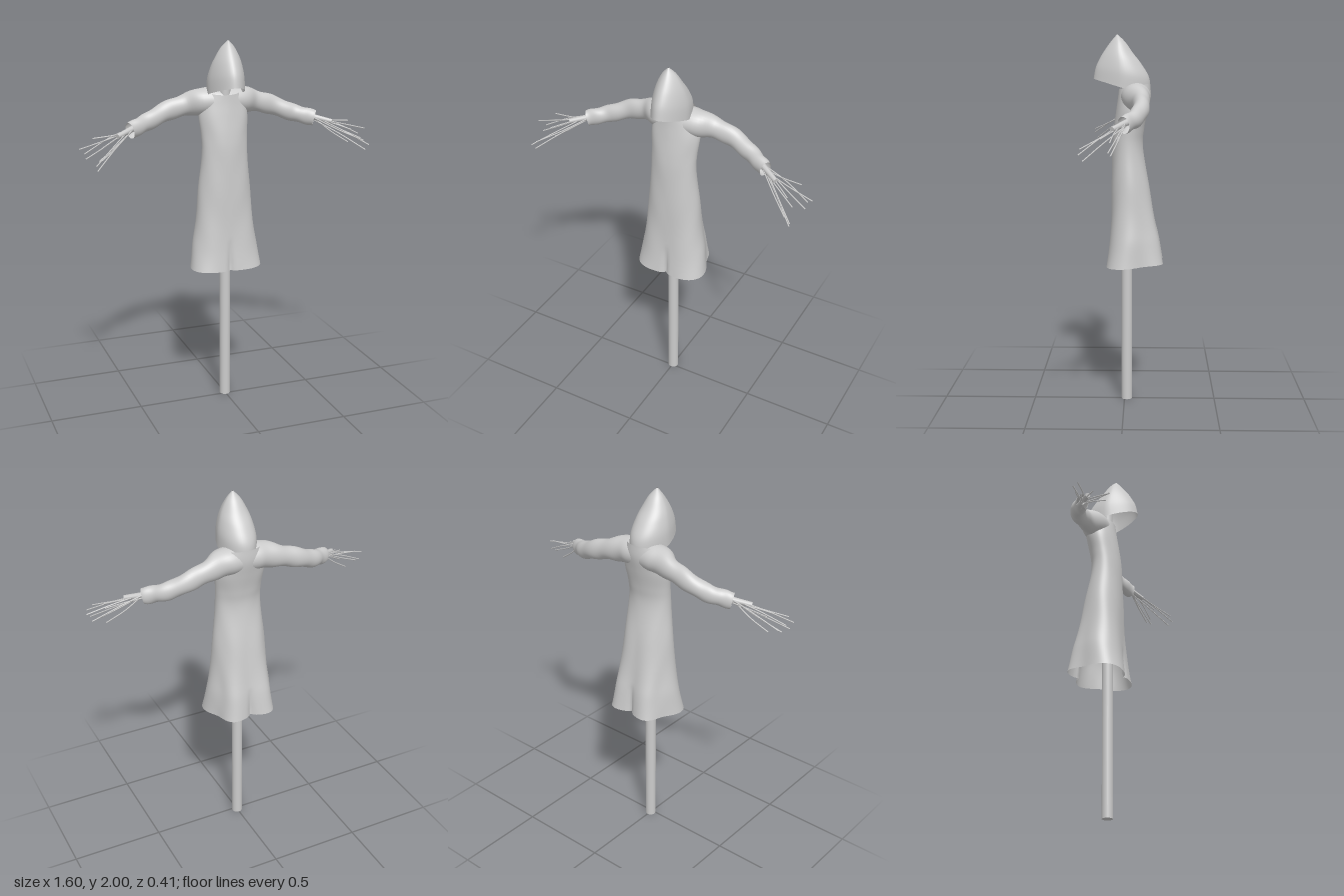
import * as THREE from 'three';

const cloth = new THREE.MeshStandardMaterial({ color: 0xcccccc, side: THREE.DoubleSide });
const wood = new THREE.MeshStandardMaterial({ color: 0xcccccc });
const V = (x, y, z) => new THREE.Vector3(x, y, z);

function addMesh(parent, name, geometry, material) {
  const m = new THREE.Mesh(geometry, material);
  m.name = name;
  parent.add(m);
  return m;
}

// Smoothly resample a short table of rows (Catmull-Rom per column)
function resample(rows, count) {
  const n = rows.length - 1;
  return Array.from({ length: count + 1 }, (_, k) => {
    const f = (k / count) * n, i = Math.min(Math.floor(f), n - 1), t = f - i;
    const row = (j) => rows[Math.max(0, Math.min(n, j))];
    return rows[0].map((_, c) => {
      const [a, b, d, e] = [row(i - 1)[c], row(i)[c], row(i + 1)[c], row(i + 2)[c]];
      return b + 0.5 * t * (d - a + t * (2 * a - 5 * b + 4 * d - e + t * (3 * (b - d) + e - a)));
    });
  });
}

// Skin closed rings; point(ring index, angle) gives each vertex
function loft(rings, segs, point) {
  const pos = [], idx = [];
  for (let i = 0; i < rings; i++)
    for (let j = 0; j < segs; j++) pos.push(...point(i, (j / segs) * Math.PI * 2).toArray());
  for (let i = 0; i < rings - 1; i++)
    for (let j = 0; j < segs; j++) {
      const k = (j + 1) % segs;
      const a = i * segs + j, b = i * segs + k, c = b + segs, d = a + segs;
      idx.push(a, b, c, a, c, d);
    }
  const g = new THREE.BufferGeometry();
  g.setAttribute('position', new THREE.Float32BufferAttribute(pos, 3));
  g.setIndex(idx);
  g.computeVertexNormals();
  return g;
}

// Rows of garment: front z, front y, back z, back y, half width
const robeRows = [
  [0.11, 0.765, -0.21, 0.785, 0.2],
  [0.09, 0.88, -0.19, 0.9, 0.183],
  [0.08, 1.0, -0.17, 1.0, 0.166],
  [0.072, 1.2, -0.135, 1.2, 0.146],
  [0.066, 1.4, -0.1, 1.4, 0.127],
  [0.058, 1.5, -0.105, 1.5, 0.126],
  [0.045, 1.6, -0.125, 1.6, 0.135],
  [0.035, 1.67, -0.14, 1.68, 0.125],
  [0.03, 1.715, -0.137, 1.745, 0.1],
];
const hoodRows = [
  [0.165, 1.77, -0.137, 1.68, 0.097],
  [0.153, 1.83, -0.133, 1.77, 0.096],
  [0.127, 1.885, -0.092, 1.845, 0.083],
  [0.098, 1.93, -0.045, 1.905, 0.063],
  [0.068, 1.97, -0.006, 1.96, 0.036],
  [0.042, 2.0, 0.034, 2.0, 0.003],
];
// Sleeve: centre x, y, z, half height, half depth
const sleeveRows = [
  [0, 1.675, -0.055, 0.07, 0.08],
  [0.1, 1.675, -0.065, 0.073, 0.075],
  [0.2, 1.656, -0.088, 0.058, 0.046],
  [0.3, 1.628, -0.092, 0.052, 0.042],
  [0.4, 1.588, -0.07, 0.047, 0.04],
  [0.47, 1.568, -0.035, 0.045, 0.035],
  [0.52, 1.555, -0.008, 0.045, 0.032],
];
const twigTips = [
  [0.8, 1.49, 0.05], [0.77, 1.46, 0.03], [0.72, 1.53, 0.0], [0.7, 1.42, 0.05], [0.75, 1.43, 0.2],
  [0.74, 1.4, 0.18], [0.72, 1.455, 0.195], [0.77, 1.44, 0.06], [0.69, 1.5, 0.1],
];

// Point on a tilted oval ring of a garment
function garmentPoint([fz, fy, bz, by, hw], a, swell, pinch = 0) {
  const c = Math.cos(a);
  const x = hw * Math.sin(a) * swell * (1 - pinch * Math.max(0, c));
  const t = 0.5 + 0.5 * c * swell;
  return V(x, by + (fy - by) * (0.5 + 0.5 * c), bz + (fz - bz) * t);
}

function robeGeometry() {
  const rows = resample(robeRows, 56);
  return loft(rows.length, 96, (i, a) => {
    const r = rows[i], t = Math.max(0, (1.4 - r[1]) / 0.635);
    // Deep folds at the hem fade out towards the waist
    const h = a > Math.PI ? 2 * Math.PI - a : a;
    const fold = -Math.cos(4 * (h - 0.28 * Math.sin(h) * (1 - Math.cos(h))));
    // Narrow creases at the middle of front and back
    const low = Math.max(0, Math.min(1, (0.94 - r[1]) / 0.14));
    const crease = 0.11 * low * Math.exp(-((Math.sin(a) / 0.08) ** 2));
    const wrinkle = 0.012 * Math.sin(r[1] * 21 + 2 * Math.cos(2 * a)) * Math.sin(3 * h);
    return garmentPoint(r, a, 1 + 0.12 * t ** 1.3 * fold - crease + wrinkle);
  });
}

function hoodGeometry() {
  const rows = resample(hoodRows, 28);
  return loft(rows.length, 48, (i, a) => garmentPoint(rows[i], a, 1, 0.25));
}

function sleeveGeometry(side) {
  const rows = resample(sleeveRows, 40);
  const centre = rows.map((r) => V(side * r[0], r[1], r[2]));
  return loft(rows.length, 32, (i, a) => {
    const along = centre[Math.min(i + 1, 40)].clone().sub(centre[Math.max(i - 1, 0)]).normalize();
    const across = along.clone().cross(V(0, 1, 0)).normalize();
    const up = across.clone().cross(along);
    const f = 1 + 0.05 * Math.sin(i * 0.75 + side * Math.sin(a) * 2) * Math.min(1, i / 12);
    return centre[i].clone()
      .addScaledVector(up, Math.cos(a) * rows[i][3] * f)
      .addScaledVector(across, Math.sin(a) * rows[i][4] * f);
  });
}

function createArm(side) {
  const arm = new THREE.Group();
  arm.name = side > 0 ? 'leftArm' : 'rightArm';
  addMesh(arm, 'sleeve', sleeveGeometry(side), cloth);

  // Short branch poking out of the cuff
  const from = V(side * 0.44, 1.58, -0.055), to = V(side * 0.6, 1.54, 0.045);
  const dir = to.clone().sub(from);
  const branch = addMesh(arm, 'branch', new THREE.CylinderGeometry(0.013, 0.018, dir.length(), 10), wood);
  branch.position.copy(from).lerp(to, 0.5);
  branch.quaternion.setFromUnitVectors(V(0, 1, 0), dir.normalize());

  // Thin, slightly crooked twigs as fingers
  twigTips.forEach(([x, y, z], i) => {
    const start = V(side * 0.51, 1.56 + 0.012 * Math.sin(i * 2.1), -0.01 + 0.012 * Math.cos(i * 2.1));
    const end = V(side * x, y, z);
    const mid = start.clone().lerp(end, 0.5)
      .add(V(0, 0.008 * Math.sin(i * 1.7), 0.008 * Math.cos(i * 2.9)));
    const path = new THREE.CatmullRomCurve3([start, mid, end]);
    addMesh(arm, 'twig', new THREE.TubeGeometry(path, 6, 0.0035, 5), wood);
  });
  return arm;
}

export function createModel() {
  const model = new THREE.Group();
  model.name = 'scarecrow';

  const pole = addMesh(model, 'pole', new THREE.CylinderGeometry(0.029, 0.029, 1.78, 20), wood);
  pole.position.set(0, 0.89, -0.013);

  addMesh(model, 'robe', robeGeometry(), cloth);
  addMesh(model, 'hood', hoodGeometry(), cloth);
  for (const side of [1, -1]) model.add(createArm(side));
  return model;
}
